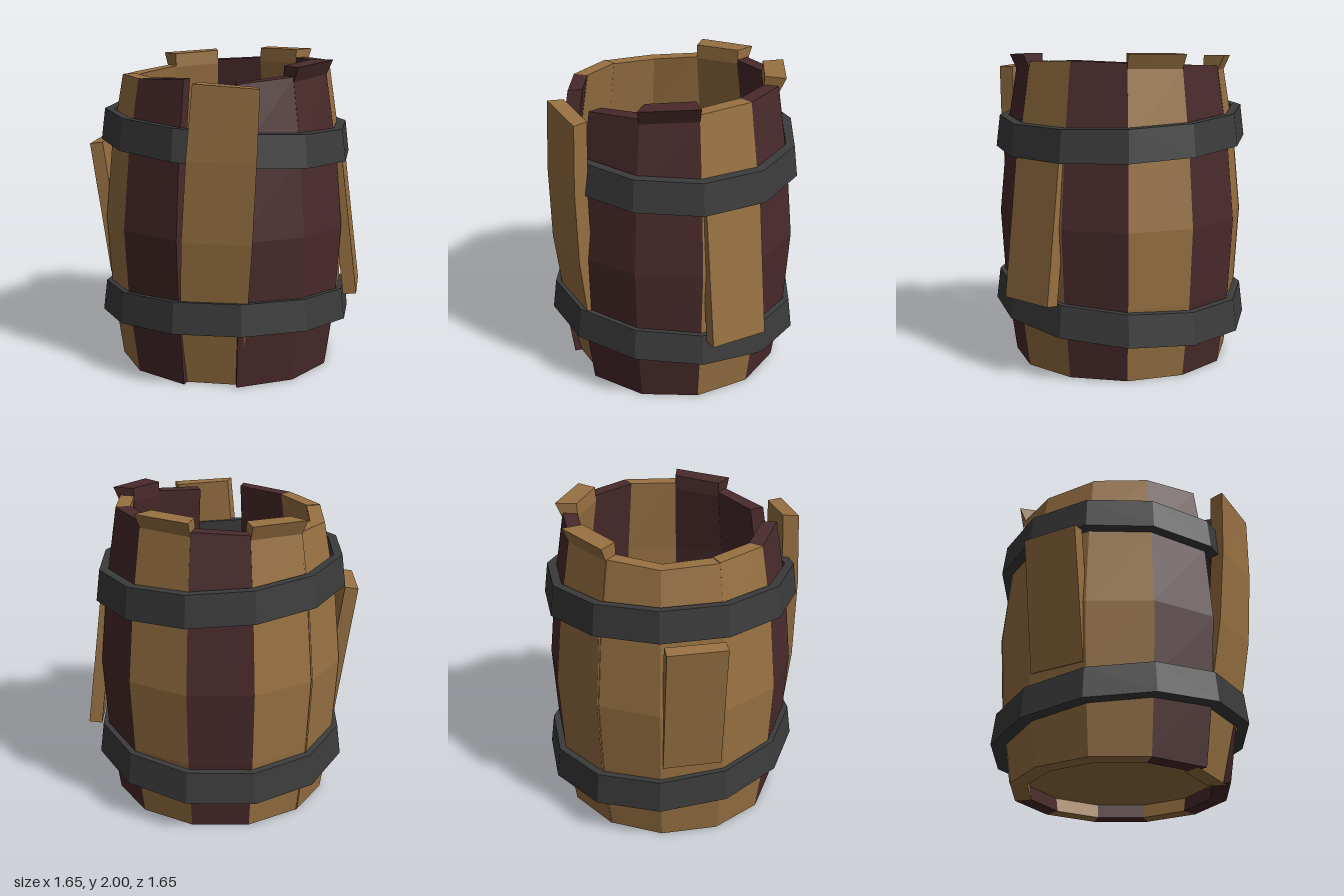
import * as THREE from 'three';

const rad = THREE.MathUtils.degToRad;

function mat(name, color) {
  const m = new THREE.MeshStandardMaterial({ color });
  m.name = name;
  return m;
}

// Split faces so every facet is flat
function faceted(geometry) {
  const g = geometry.index ? geometry.toNonIndexed() : geometry;
  g.computeVertexNormals();
  return g;
}

// Stave between angles a and b. Each ring is [outer r, inner r, y at a, y at b]
function staveGeometry(a, b, rings) {
  const pos = [];
  for (const [ro, ri, ya, yb] of rings) {
    for (const [r, t, y] of [[ro, a, ya], [ro, b, yb], [ri, b, yb], [ri, a, ya]]) {
      pos.push(r * Math.sin(rad(t)), y, r * Math.cos(rad(t)));
    }
  }
  const idx = [];
  const quad = (p, q, r, s) => idx.push(p, q, r, p, r, s);
  for (let k = 0; k < rings.length - 1; k++) {
    for (let i = 0; i < 4; i++) {
      const j = (i + 1) % 4, lo = k * 4, hi = lo + 4;
      quad(lo + i, lo + j, hi + j, hi + i);
    }
  }
  const top = (rings.length - 1) * 4;
  quad(0, 3, 2, 1);
  quad(top, top + 1, top + 2, top + 3);
  const g = new THREE.BufferGeometry();
  g.setAttribute('position', new THREE.Float32BufferAttribute(pos, 3));
  g.setIndex(idx);
  return g;
}

// Twelve-sided iron band of radius r, tilted by slopes along x and z
function hoopGeometry(r, y, slopeX, slopeZ) {
  const profile = [[0.73, -0.1], [r, -0.1], [r - 0.025, 0.1], [0.73, 0.1], [0.73, -0.1]]
    .map(([x, h]) => new THREE.Vector2(x, h));
  const g = new THREE.LatheGeometry(profile, 12, rad(-6));
  const p = g.attributes.position;
  for (let i = 0; i < p.count; i++) {
    p.setY(i, p.getY(i) + y + slopeX * p.getX(i) + slopeZ * p.getZ(i));
  }
  return faceted(g);
}

export function createModel() {
  const group = new THREE.Group();
  const oak = mat('light oak', 0x987142);
  const dark = mat('dark wood', 0x492a2b);
  const iron = mat('iron', 0x3b3b3b);

  const add = (name, geometry, material, parent = group) => {
    const mesh = new THREE.Mesh(geometry, material);
    mesh.name = name;
    parent.add(mesh);
    return mesh;
  };

  // Bulging staves: [start angle, end angle, material, top y at start, top y at end, flared top]
  const body = [
    [0.7, 0.59, 0, 0],
    [0.765, 0.665, 0.47, 0.47],
    [0.793, 0.693, 0.95, 0.95],
    [0.745, 0.645, 1.45, 1.45],
  ];
  const staves = [
    [-6, 25.3, dark, 1.885, 1.905],
    [52.7, 84, dark, 1.88, 1.91],
    [84, 114, dark, 1.97, 1.99, true],
    [114, 144, oak, 1.94, 1.955],
    [144, 174, dark, 1.955, 1.945],
    [174, 204, oak, 2.0, 1.995, true],
    [204, 234, dark, 1.93, 1.91],
    [234, 265, oak, 1.975, 1.96, true],
    [264, 294, oak, 1.88, 1.86],
    [294, 324, oak, 1.86, 1.875],
    [324, 354, oak, 1.88, 1.885],
  ];
  for (const [a, b, material, ya, yb, flared] of staves) {
    const end = flared
      ? [[0.675, 0.575, ya - 0.09, yb - 0.09], [0.715, 0.58, ya, yb]]
      : [[0.668, 0.575, ya, yb]];
    add('stave', faceted(staveGeometry(a, b, [...body, ...end])), material);
  }

  // Sprung stave: foot pushed inward, head leaning outward and sideways
  const loose = staveGeometry(23.5, 54.8, [
    ...body.slice(0, 3),
    [0.775, 0.675, 1.45, 1.44],
    [0.73, 0.63, 1.9, 1.875],
  ]);
  const p = loose.attributes.position;
  const s = Math.sin(rad(39)), c = Math.cos(rad(39));
  for (let i = 0; i < p.count; i++) {
    const y = p.getY(i), out = -0.04 + 0.081 * y, side = 0.063 * y;
    p.setXYZ(i, p.getX(i) + out * s + side * c, y, p.getZ(i) + out * c - side * s);
  }
  add('looseStave', faceted(loose), oak);

  // Recessed barrel floor
  add('floor', faceted(new THREE.CylinderGeometry(0.62, 0.62, 0.04, 12, 1, false, rad(-6))), oak)
    .position.y = 0.11;

  // Iron hoops
  add('upperHoop', hoopGeometry(0.812, 1.51, -0.044, 0.05), iron);
  add('lowerHoop', hoopGeometry(0.828, 0.4, 0.066, 0.066), iron);

  // Patch planks leaning on the sides: [name, angle, centre y, distance out, tilt]
  for (const [name, angle, y, out, tilt] of [
    ['leftPlank', 309, 1.0, 0.77, 0.14],
    ['rightPlank', 129, 0.918, 0.776, -0.125],
  ]) {
    const pivot = new THREE.Group();
    pivot.name = name;
    pivot.rotation.y = rad(angle);
    group.add(pivot);
    const plank = add(name + 'Board', new THREE.BoxGeometry(0.37, 0.87, 0.085), oak, pivot);
    plank.position.set(0, y, out);
    plank.rotation.x = tilt;
  }
  return group;
}
